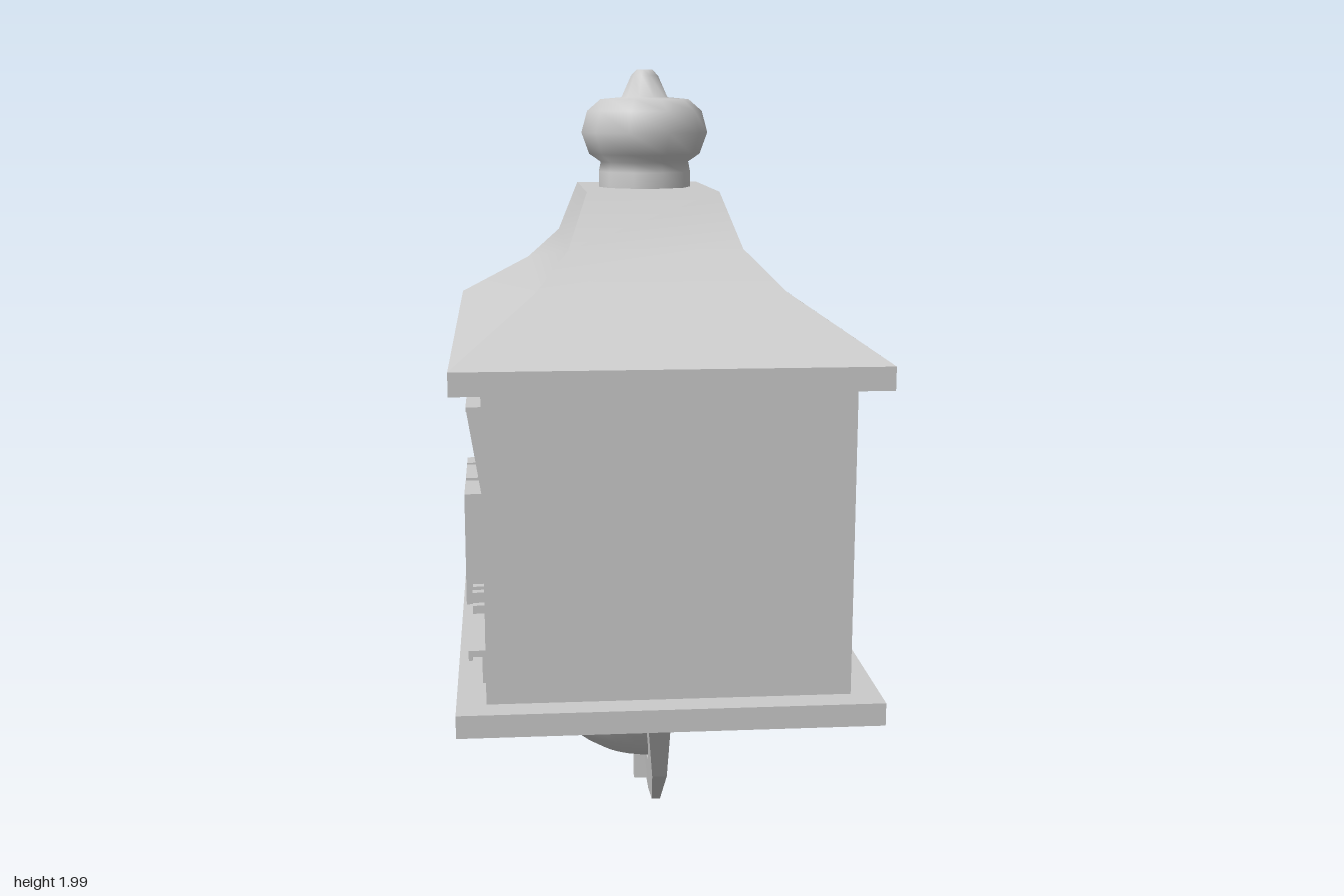
import * as THREE from 'three';

const grey = new THREE.MeshStandardMaterial({ color: 0xcccccc, side: THREE.DoubleSide });

function add(group, name, geometry) {
  const mesh = new THREE.Mesh(geometry, grey);
  mesh.name = name;
  group.add(mesh);
  return mesh;
}

// Box given by its min and max corners
function box(group, name, [x0, y0, z0], [x1, y1, z1]) {
  const g = new THREE.BoxGeometry(x1 - x0, y1 - y0, z1 - z0);
  g.translate((x0 + x1) / 2, (y0 + y1) / 2, (z0 + z1) / 2);
  return add(group, name, g);
}

// One roof slope swept through rectangular rings; the hips stay sharp
function roofSlope(rings, side) {
  const corners = [[1, 1], [1, -1], [-1, -1], [-1, 1]];
  const pos = [], index = [];
  rings.forEach(([hx, hz, y], i) => {
    for (const k of [side, (side + 1) % 4]) pos.push(corners[k][0] * hx, y, corners[k][1] * hz);
    if (i > 0) {
      const a = 2 * i - 2;
      index.push(a, a + 1, a + 3, a, a + 3, a + 2);
    }
  });
  const g = new THREE.BufferGeometry();
  g.setAttribute('position', new THREE.Float32BufferAttribute(pos, 3));
  g.setIndex(index);
  g.computeVertexNormals();
  return g;
}

export function createModel() {
  const model = new THREE.Group();
  model.name = 'lanternBox';

  // Body with projecting base and eaves
  box(model, 'base', [-0.5, 0.49, -0.79], [0.5, 0.545, 0.79]);
  box(model, 'body', [-0.43, 0.545, -0.72], [0.43, 1.285, 0.72]);
  box(model, 'eaves', [-0.5, 1.285, -0.79], [0.5, 1.34, 0.79]);

  // Flared hipped roof with a flat top
  const rings = [[0.5, 0.79, 1.34], [0.3, 0.48, 1.475], [0.215, 0.34, 1.565], [0.165, 0.26, 1.7]];
  for (let s = 0; s < 4; s++) add(model, 'roofSlope', roofSlope(rings, s));
  const cap = new THREE.PlaneGeometry(0.33, 0.52).rotateX(-Math.PI / 2).translate(0, 1.7, 0);
  add(model, 'roofTop', cap);

  // Ten-sided turned finial
  const profile = [
    [0.12, 1.7], [0.12, 1.74], [0.115, 1.765], [0.145, 1.785], [0.165, 1.84],
    [0.15, 1.895], [0.115, 1.925], [0.06, 1.93], [0.035, 1.985], [0.02, 2], [0, 2],
  ].map(([r, y]) => new THREE.Vector2(r, y));
  add(model, 'finial', new THREE.LatheGeometry(profile, 10).rotateY(Math.PI / 2));

  // Fittings on the -x wall: top strip, brackets, rail and raised plates
  const fittings = new THREE.Group();
  fittings.name = 'sideFittings';
  model.add(fittings);
  box(fittings, 'topStrip', [-0.465, 1.23, -0.62], [-0.43, 1.24, 0.67]);
  box(fittings, 'rail', [-0.47, 0.645, -0.62], [-0.43, 0.66, 0.67]);
  box(fittings, 'railLip', [-0.47, 0.635, -0.62], [-0.462, 0.66, 0.67]);
  const wedge = new THREE.Shape([[-0.43, 1.24], [-0.465, 1.24], [-0.43, 1.02]]
    .map(([x, y]) => new THREE.Vector2(x, y)));
  for (const z of [-0.62, 0.655]) {
    add(fittings, 'topBracket',
      new THREE.ExtrudeGeometry(wedge, { depth: 0.015, bevelEnabled: false }).translate(0, 0, z));
    box(fittings, 'railBracket', [-0.438, 0.58, z], [-0.43, 0.65, z + 0.015]);
  }
  for (const [z0, z1] of [[0, 0.07], [0.09, 0.25], [0.28, 0.43]])
    box(fittings, 'raisedPlate', [-0.478, 0.7, z0], [-0.43, 0.98, z1]);
  for (const [y, z] of [[0.765, 0.52], [0.765, 0.57], [0.725, 0.545]])
    box(fittings, 'stud', [-0.46, y - 0.01, z - 0.012], [-0.43, y + 0.01, z + 0.012]);

  // Quarter bowl below the base, open towards +x
  const bowl = new THREE.SphereGeometry(1, 16, 10, -Math.PI / 2, Math.PI, Math.PI / 2, Math.PI / 2);
  bowl.scale(0.33, 0.35, 0.35).translate(0, 0.49, 0);
  add(model, 'bowl', bowl);

  // Scrolled rim around the bowl opening, thinning towards its tip
  const outer = [[0.52, 0.49], [0.52, 0.425], [0.49, 0.385], [0.43, 0.35], [0.34, 0.19], [0.15, 0.045]];
  const inner = [[0.2, 0.18], [0.29, 0.26], [0.345, 0.38], [0.365, 0.49]];
  const mirror = (list) => list.map(([z, y]) => [-z, y]).reverse();
  const outline = [...outer, [0, 0.01], ...mirror(outer), ...mirror(inner), [0, 0.135], ...inner];
  const rim = new THREE.ExtrudeGeometry(
    new THREE.Shape(outline.map(([z, y]) => new THREE.Vector2(z, y))),
    { depth: 0.07, bevelEnabled: false });
  rim.rotateY(-Math.PI / 2).translate(0.03, 0, 0);
  const p = rim.attributes.position;
  for (let i = 0; i < p.count; i++)
    if (p.getX(i) < 0) p.setX(i, THREE.MathUtils.lerp(0.012, -0.04, p.getY(i) / 0.49));
  rim.computeVertexNormals();
  add(model, 'bowlRim', rim);

  // Small clasp at the tip of the rim
  box(model, 'clasp', [-0.03, 0.05, -0.015], [0.038, 0.125, 0.015]);

  return model;
}
